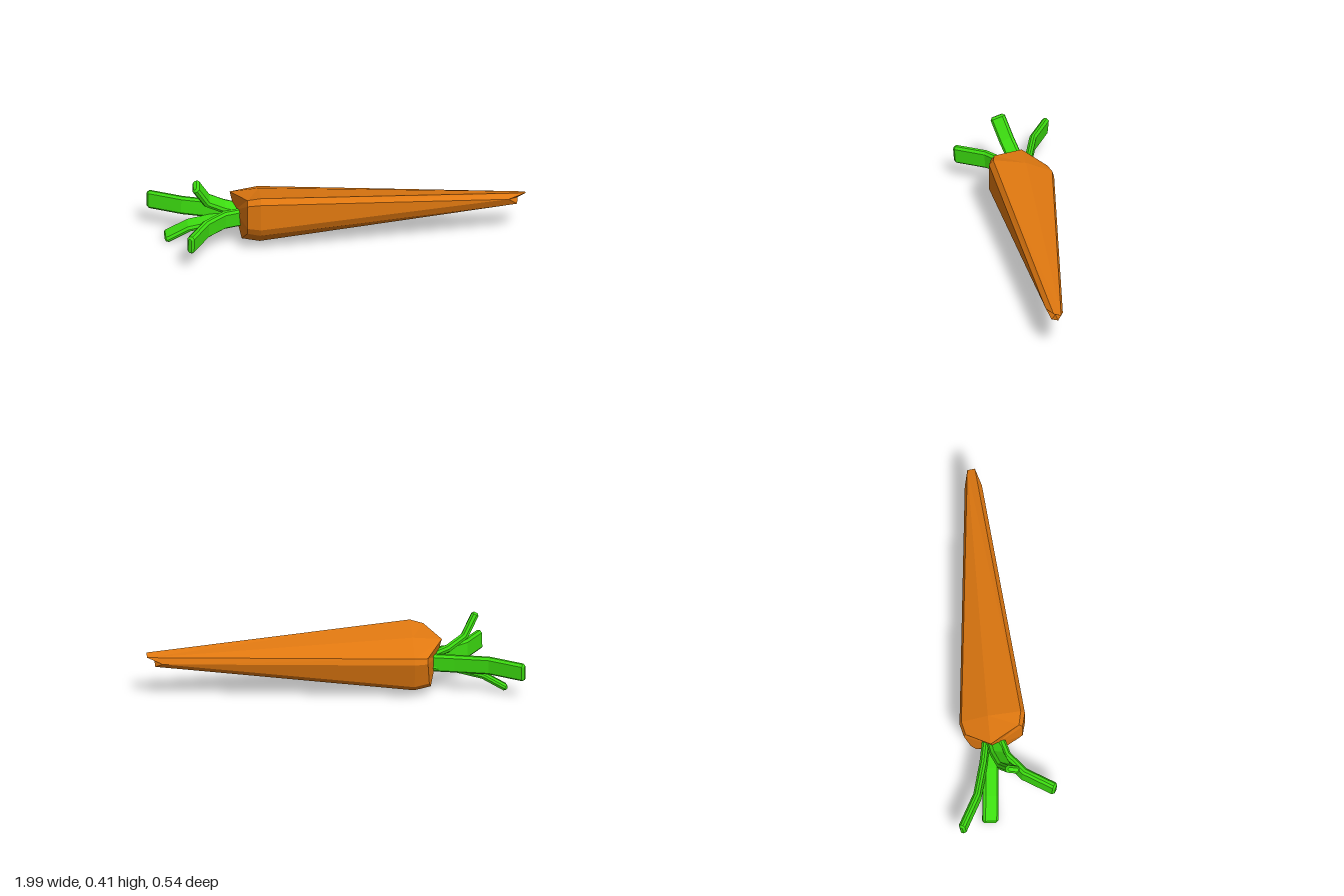
import * as THREE from 'three';

const V = (x, y, z) => new THREE.Vector3(x, y, z);

// Skin a list of equal-length rings and close both ends with fans.
// caps: optional [start, end] centre points.
function loft(rings, caps = []) {
  const pos = [];
  const tri = (a, b, c) => {
    if (a.distanceTo(b) < 1e-6 || b.distanceTo(c) < 1e-6 || a.distanceTo(c) < 1e-6) return;
    pos.push([a, b, c]);
  };
  const n = rings[0].length;
  for (let r = 0; r < rings.length - 1; r++) {
    for (let i = 0; i < n; i++) {
      const j = (i + 1) % n, A = rings[r], B = rings[r + 1];
      tri(A[i], A[j], B[j]);
      tri(A[i], B[j], B[i]);
    }
  }
  const mid = (ring) => ring.reduce((s, p) => s.add(p), V(0, 0, 0)).divideScalar(n);
  const first = rings[0], last = rings[rings.length - 1];
  const c0 = caps[0] || mid(first), c1 = caps[1] || mid(last);
  for (let i = 0; i < n; i++) {
    const j = (i + 1) % n;
    tri(c0, first[j], first[i]);
    tri(c1, last[i], last[j]);
  }
  // Make every face point outwards
  const o = mid(first);
  let vol = 0;
  for (const [a, b, c] of pos) {
    vol += a.clone().sub(o).dot(b.clone().sub(o).cross(c.clone().sub(o)));
  }
  const pts = pos.flatMap(([a, b, c]) => (vol < 0 ? [a, c, b] : [a, b, c]));
  const g = new THREE.BufferGeometry().setFromPoints(pts);
  g.computeVertexNormals();
  return g;
}

// Bent leaf stalk: chamfered strip swept along a path, width along w
function stalk(path, w, width, thick) {
  const pts = path.map((p) => V(...p));
  const last = pts.length - 1;
  // short chamfer at the free end
  const endDir = pts[last].clone().sub(pts[last - 1]).normalize();
  const stations = [...pts.slice(0, last), pts[last].clone().addScaledVector(endDir, -0.012), pts[last]];
  const wide = V(...w).normalize();
  const rings = stations.map((p, k) => {
    const a = stations[Math.max(k - 1, 0)], b = stations[Math.min(k + 1, stations.length - 1)];
    const t = b.clone().sub(a).normalize();
    const n = t.clone().cross(wide).normalize();
    const side = n.clone().cross(t).normalize();
    const inset = k === stations.length - 1 ? 0.01 : 0;
    const hw = width / 2 - inset, ht = thick / 2 - inset, c = Math.min(0.012, ht * 0.7);
    return [
      [hw, ht - c], [hw - c, ht], [-hw + c, ht], [-hw, ht - c],
      [-hw, -ht + c], [-hw + c, -ht], [hw - c, -ht], [hw, -ht + c],
    ].map(([u, v]) => p.clone().addScaledVector(side, u).addScaledVector(n, v));
  });
  return loft(rings);
}

export function createModel() {
  const group = new THREE.Group();
  group.name = 'carrot';
  const orange = new THREE.MeshStandardMaterial({ color: 0xe07810, flatShading: true });
  const green = new THREE.MeshStandardMaterial({ color: 0x3cdc10, flatShading: true });

  // Root: bevelled pentagon [z, y, x of the shoulder ring, tip vertex]
  const profile = [
    [0.10, 0.35, -0.48, 0], [-0.075, 0.318, -0.565, 1], [-0.215, 0.253, -0.48, 1],
    [-0.225, 0.22, -0.48, 2], [-0.185, 0.08, -0.49, 2], [-0.155, 0.05, -0.50, 3],
    [-0.04, 0.03, -0.505, 3], [0, 0.04, -0.505, 4], [0.10, 0.125, -0.48, 4],
    [0.122, 0.17, -0.48, 5], [0.122, 0.32, -0.48, 5],
  ];
  const tip = [
    V(1, 0.266, -0.03), V(1, 0.253, -0.07), V(0.92, 0.22, -0.09),
    V(0.955, 0.195, -0.06), V(0.955, 0.205, -0.025), V(0.91, 0.247, 0),
  ];
  const shoulder = profile.map(([z, y, x]) =>
    V(x, 0.19 + (y - 0.19) * 0.89, -0.05 + (z + 0.05) * 0.9));
  const widest = profile.map(([z, y]) => V(-0.41, y, z));
  const point = profile.map((p) => tip[p[3]].clone());
  const root = new THREE.Mesh(
    loft([shoulder, widest, point], [V(-0.54, 0.2, -0.055), V(0.96, 0.235, -0.045)]), orange);
  root.name = 'root';
  group.add(root);

  // Leaf stalks: path, width direction, width, thickness
  const stalks = {
    frontStalk: [[[-0.5, 0.18, -0.02], [-0.6, 0.178, 0.01], [-0.7, 0.172, 0.095], [-0.795, 0.162, 0.255]],
      [0, 0.1, 0.01], 0.103, 0.04],
    backStalk: [[[-0.5, 0.18, -0.09], [-0.63, 0.178, -0.115], [-0.81, 0.18, -0.163], [-0.99, 0.172, -0.26]],
      [0, 0.1, -0.009], 0.1, 0.036],
    upperStalk: [[[-0.5, 0.2, -0.055], [-0.6, 0.235, -0.04], [-0.69, 0.29, -0.01], [-0.755, 0.405, 0.033]],
      [0, -0.035, 0.07], 0.08, 0.04],
    lowerStalk: [[[-0.5, 0.15, -0.07], [-0.64, 0.135, -0.078], [-0.78, 0.098, -0.09], [-0.905, 0.025, -0.102]],
      [0, 0.02, -0.075], 0.085, 0.036],
  };
  for (const [name, args] of Object.entries(stalks)) {
    const mesh = new THREE.Mesh(stalk(...args), green);
    mesh.name = name;
    group.add(mesh);
  }
  return group;
}
